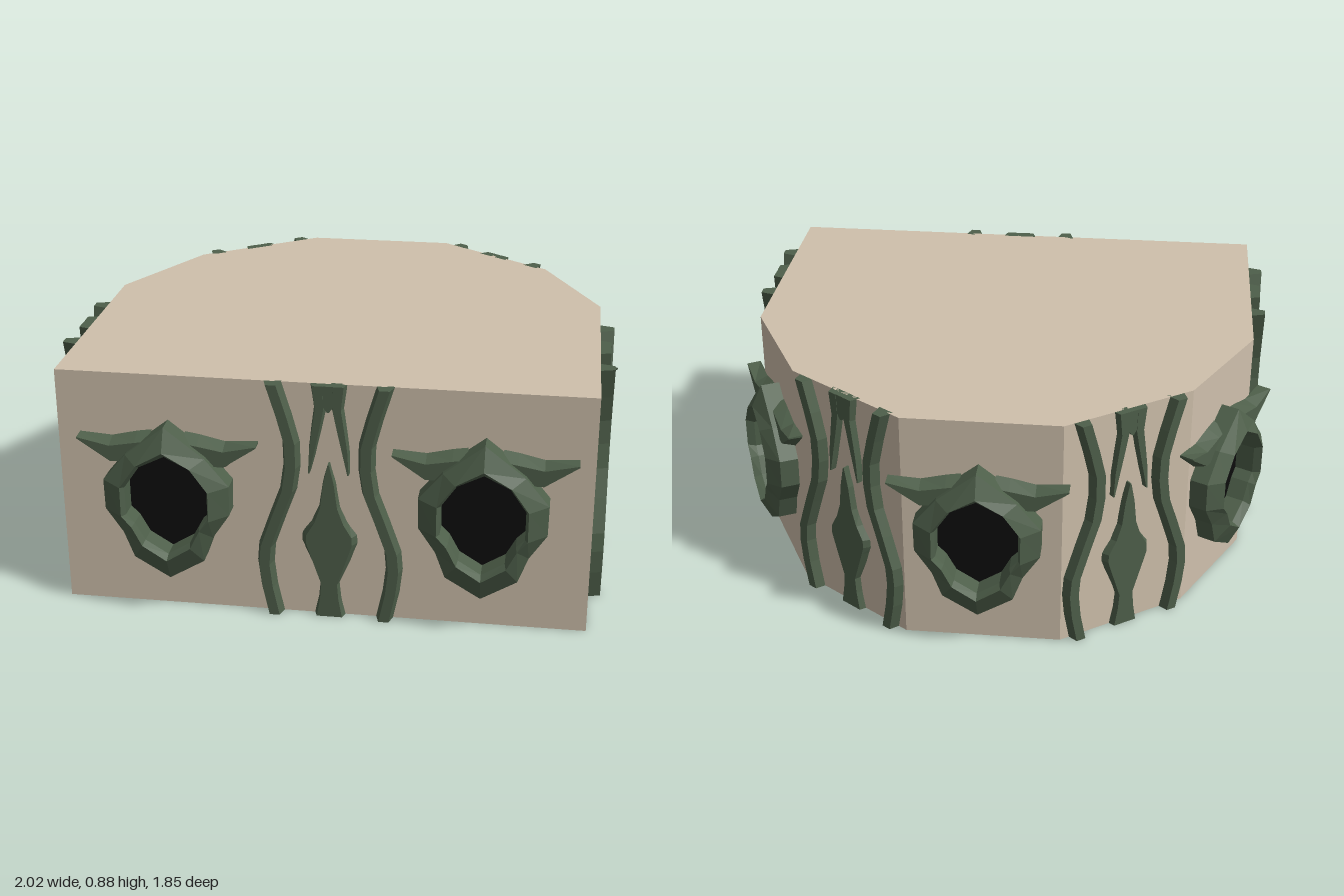
import * as THREE from 'three';

const paint = (name, color) => Object.assign(new THREE.MeshStandardMaterial({ color }), { name });
const HEIGHT = 0.885;

// Flat-shaded skin over closed loops of equal length, optionally capped at both ends
function loft(loops, capped) {
  const n = loops[0].length, pos = [];
  const tri = (a, b, c) => pos.push(...a, ...b, ...c);
  for (let r = 0; r < loops.length - 1; r++) {
    for (let i = 0; i < n; i++) {
      const j = (i + 1) % n, a = loops[r], b = loops[r + 1];
      tri(a[i], a[j], b[j]);
      tri(a[i], b[j], b[i]);
    }
  }
  if (capped) {
    const first = loops[0], last = loops[loops.length - 1];
    for (let i = 1; i < n - 1; i++) {
      tri(first[0], first[i + 1], first[i]);
      tri(last[0], last[i], last[i + 1]);
    }
  }
  const geo = new THREE.BufferGeometry();
  geo.setAttribute('position', new THREE.Float32BufferAttribute(pos, 3));
  geo.computeVertexNormals();
  return geo;
}

// Bevelled strip running up y; each point is [x, y, halfWidth]
const strip = (points, depth, top = 0.55) => loft(points.map(([x, y, w]) => [
  [x - w, y, 0], [x - w * top, y, depth], [x + w * top, y, depth], [x + w, y, 0],
]), true);

// Full symmetric outline from its right half, listed bottom to top
const mirrorHalf = half => [...half, ...half.slice(1, -1).reverse().map(([x, y]) => [-x, y])];

const OUTER = mirrorHalf([[0, 0.14], [0.125, 0.215], [0.16, 0.31], [0.22, 0.4], [0.222, 0.51], [0.14, 0.61], [0, 0.72]]);
const RIDGE = mirrorHalf([[0, 0.225], [0.085, 0.28], [0.12, 0.35], [0.155, 0.39], [0.155, 0.5], [0.095, 0.585], [0, 0.64]]);
const HOLE = mirrorHalf([[0, 0.24], [0.08, 0.29], [0.115, 0.355], [0.145, 0.385], [0.145, 0.49], [0.09, 0.57], [0, 0.615]]);

export function createModel() {
  const model = new THREE.Group();
  model.name = 'building';
  const wallMat = paint('beige wall', 0xcfc0ac);
  const greenMat = paint('moss green', 0x4e5f4a);
  const blackMat = paint('window black', 0x0c0c0c);

  const add = (parent, name, geo, mat) => {
    const mesh = new THREE.Mesh(geo, mat);
    mesh.name = name;
    parent.add(mesh);
    return mesh;
  };
  // Group standing on a wall at (x, z), facing along the wall normal
  const mount = (name, [x, z, nx, nz]) => {
    const g = new THREE.Group();
    g.name = name;
    g.position.set(x, 0, z);
    g.rotation.y = Math.atan2(nx, nz);
    model.add(g);
    return g;
  };

  // Eight-sided block
  const plan = [[-0.92, 0.81], [0.94, 0.81], [0.94, -0.09], [0.72, -0.515],
    [0.29, -0.815], [-0.27, -0.815], [-0.7, -0.515], [-0.92, -0.09]];
  const block = new THREE.ExtrudeGeometry(
    new THREE.Shape(plan.map(([x, z]) => new THREE.Vector2(x, -z))), { depth: HEIGHT, bevelEnabled: false });
  block.rotateX(-Math.PI / 2);
  add(model, 'body', block, wallMat);

  // Horned window: faceted frame, dark opening, two horns
  function hornedWindow(place) {
    const g = mount('hornedWindow', place);
    const at = (outline, z) => outline.map(([x, y]) => [x, y, z]);
    add(g, 'windowFrame', loft([at(OUTER, 0), at(OUTER, 0.07), at(RIDGE, 0.11), at(HOLE, 0.08), at(HOLE, 0.005)]), greenMat);
    const pane = new THREE.ShapeGeometry(new THREE.Shape(HOLE.map(p => new THREE.Vector2(...p))));
    add(g, 'windowOpening', pane.translate(0, 0, 0.01), blackMat);
    for (const s of [1, -1]) {
      const horn = strip([[0.62, 0.06, 0.06], [0.612, 0.11, 0.06], [0.603, 0.2, 0.048], [0.655, 0.315, 0.004]]
        .map(([y, x, w]) => [-s * y, x, w]), 0.052, 0.6);
      add(g, 'horn', horn.rotateZ(-s * Math.PI / 2), greenMat);
    }
  }

  // Vine panel: two wavy stems, a forked top leaf and a pointed lower leaf
  function vinePanel(place, sink = 0) {
    const g = mount('vinePanel', place);
    g.translateZ(-sink);
    const stem = [[0.195, 0], [0.218, 0.11], [0.228, 0.2], [0.222, 0.27], [0.18, 0.39], [0.143, 0.49],
      [0.13, 0.58], [0.132, 0.67], [0.158, 0.77], [0.193, HEIGHT]];
    const fork = [[0.062, 0.56, 0.004], [0.05, 0.65, 0.016], [0.036, 0.73, 0.021], [0.024, 0.8, 0.024], [0.03, HEIGHT, 0.03]];
    for (const s of [1, -1]) {
      add(g, 'vineStem', strip(stem.map(([x, y]) => [s * x, y, 0.033]), 0.05), greenMat);
      add(g, 'forkedLeaf', strip(fork.map(([x, y, w]) => [s * (x + 0.006), y, w]), 0.037, 0.6), greenMat);
    }
    add(g, 'forkedLeafStem', strip([[0, 0.79, 0.004], [0, 0.83, 0.035], [0, HEIGHT, 0.045]], 0.036, 0.9), greenMat);
    add(g, 'pointedLeaf', strip([[0, 0, 0.058], [0, 0.07, 0.042], [0, 0.13, 0.036], [0, 0.26, 0.092], [0, 0.29, 0.104],
      [0, 0.32, 0.102], [0, 0.37, 0.065], [0, 0.43, 0.038], [0, 0.52, 0.024], [0, 0.595, 0.003]], 0.037, 0.78), greenMat);
  }

  // Windows: two at the front, one at the back, one on each angled side
  hornedWindow([-0.527, 0.81, 0, 1]);
  hornedWindow([0.57, 0.81, 0, 1]);
  hornedWindow([0.02, -0.815, 0, -1]);
  hornedWindow([0.83, -0.3, 0.425, -0.22]);
  hornedWindow([-0.81, -0.3, -0.425, -0.22]);

  // Vines: front, both sides and both rear corners
  vinePanel([0.035, 0.81, 0, 1], 0.01);
  vinePanel([0.94, 0.34, 1, 0]);
  vinePanel([-0.92, 0.34, -1, 0]);
  vinePanel([0.505, -0.665, 0.3, -0.43], 0.013);
  vinePanel([-0.485, -0.665, -0.3, -0.43], 0.013);

  return model;
}
